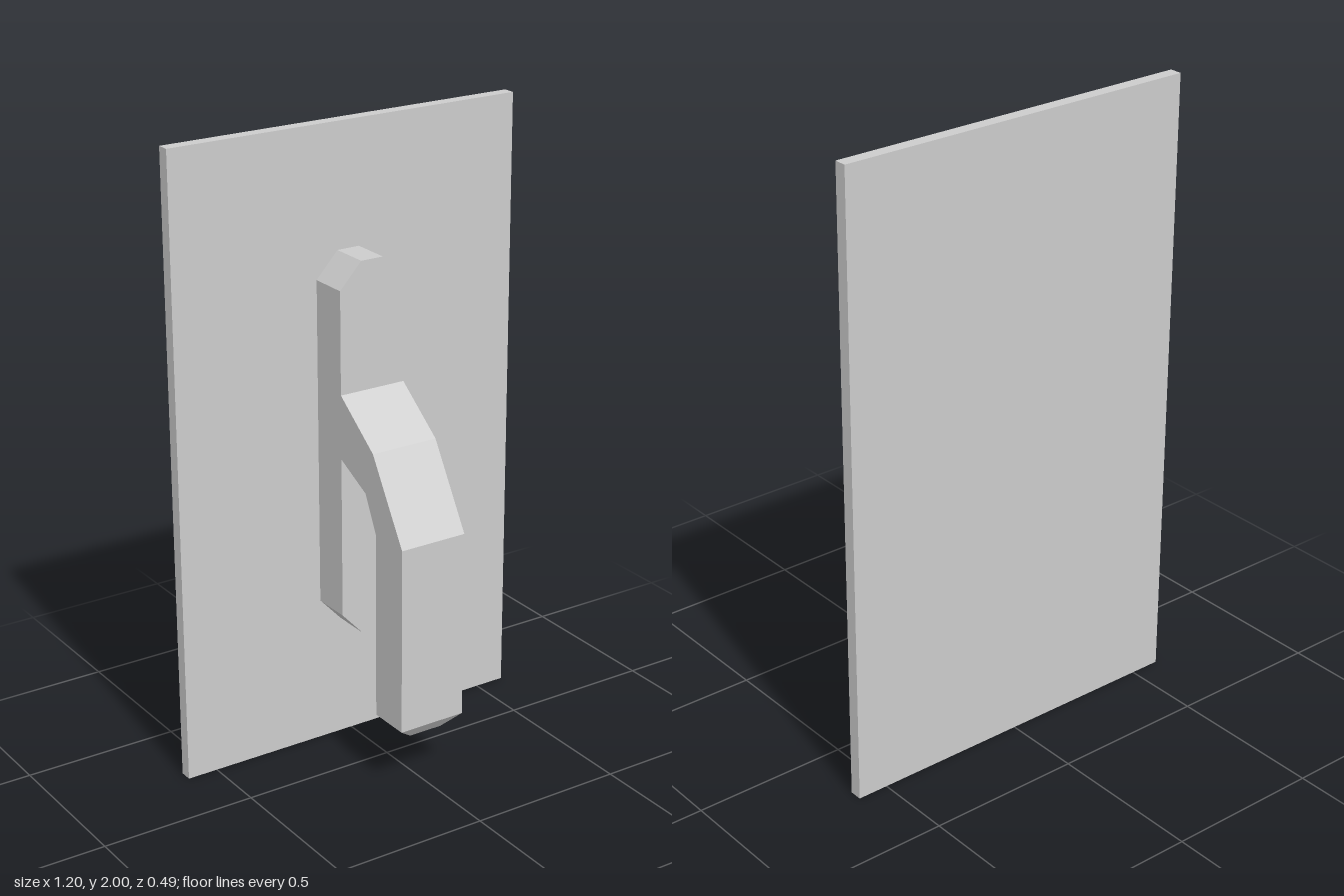
import * as THREE from 'three';

const HALF_W = 0.112; // half width shared by the mount and the lever

export function createModel() {
  const group = new THREE.Group();
  const material = new THREE.MeshStandardMaterial({ color: 0xcccccc, flatShading: true });

  const add = (name, geometry) => {
    const mesh = new THREE.Mesh(geometry, material);
    mesh.name = name;
    group.add(mesh);
  };
  const extrude = (points, depth) => new THREE.ExtrudeGeometry(
    new THREE.Shape(points.map(([x, y]) => new THREE.Vector2(x, y))),
    { depth, bevelEnabled: false });

  // Flat wall plate
  add('backPlate', new THREE.BoxGeometry(1.2, 2, 0.04).translate(0, 1, -0.226));

  // Upright mount with chamfered ends
  const c = 0.038;
  add('mount', extrude([
    [-c, 0.4], [c, 0.4], [HALF_W, 0.48], [HALF_W, 1.53],
    [c, 1.61], [-c, 1.61], [-HALF_W, 1.53], [-HALF_W, 0.48],
  ], 0.128).translate(0, 0, -0.206));

  // Bent lever: side profile as [z, y], extruded across the width
  add('lever', extrude([
    [-0.078, 1.205], [-0.078, 1.0], [0.053, 0.935], [0.108, 0.82],
    [0.108, 0.218], [0.246, 0.218], [0.246, 0.82], [0.093, 1.075],
  ], HALF_W * 2).translate(0, 0, -HALF_W).rotateY(-Math.PI / 2));

  // Tapered tip under the lever: a box with its lower face shrunk
  const tip = new THREE.BoxGeometry(HALF_W * 2, 0.043, 0.138);
  const pos = tip.attributes.position;
  for (let i = 0; i < pos.count; i++) {
    if (pos.getY(i) < 0) {
      pos.setX(i, pos.getX(i) * 0.5);
      pos.setZ(i, pos.getZ(i) * 0.5);
    }
  }
  tip.computeVertexNormals();
  add('leverTip', tip.translate(0, 0.1965, 0.177));

  return group;
}
